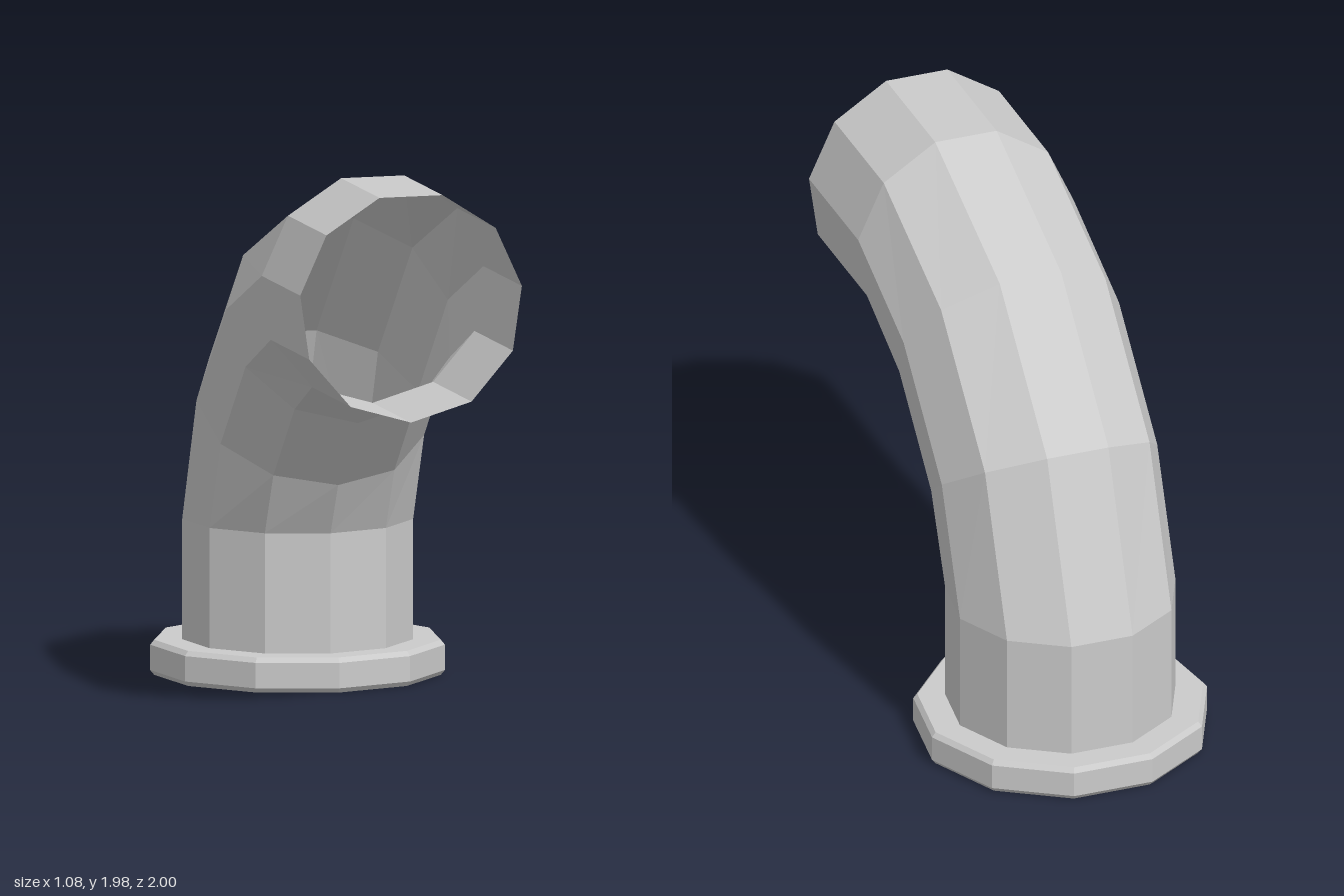
import * as THREE from 'three';

const SIDES = 11;
const RADIUS = 0.427;
const BASE_Z = -0.475;

// Flat-shaded skin through a list of rings that share one point count
function skin(rings) {
  const n = rings[0].length;
  const index = [];
  for (let i = 0; i < rings.length - 1; i++) {
    for (let j = 0; j < n; j++) {
      const a = i * n + j, b = i * n + (j + 1) % n;
      index.push(a, a + n, b, b, a + n, b + n);
    }
  }
  const geo = new THREE.BufferGeometry();
  geo.setAttribute('position', new THREE.Float32BufferAttribute(rings.flat(2), 3));
  geo.setIndex(index);
  const flat = geo.toNonIndexed();
  flat.computeVertexNormals();
  return flat;
}

// One pipe ring between its inner-bend and outer-bend extremes, each [z, y]
function pipeRing([inner, outer]) {
  const flatSide = Math.cos(Math.PI / SIDES);
  return Array.from({ length: SIDES }, (_, j) => {
    const a = (j / SIDES) * Math.PI * 2;
    const t = (1 - Math.cos(a)) / (1 + flatSide);
    return [
      RADIUS * Math.sin(a),
      THREE.MathUtils.lerp(inner[1], outer[1], t),
      THREE.MathUtils.lerp(inner[0], outer[0], t),
    ];
  });
}

export function createModel() {
  const group = new THREE.Group();
  group.name = 'pipeElbow';
  const material = new THREE.MeshStandardMaterial({
    color: 0xcccccc, flatShading: true, side: THREE.DoubleSide,
  });

  // Open thin-walled pipe, from the mouth round the bend to the flange
  const stations = [
    [[1, 1.138], [1, 1.975]],
    [[0.5, 1.138], [0.5, 1.975]],
    [[0.31, 1.035], [-0.155, 1.72]],
    [[0.053, 0.768], [-0.637, 1.235]],
    [[-0.046, 0.575], [-0.883, 0.575]],
    [[-0.046, 0.12], [-0.883, 0.12]],
  ];
  const pipe = new THREE.Mesh(skin(stations.map(pipeRing)), material);
  pipe.name = 'elbowPipe';
  group.add(pipe);

  // Base flange with small chamfers
  const profile = [
    [0, 0], [0.53, 0], [0.545, 0.018], [0.545, 0.112], [0.53, 0.13], [0, 0.13],
  ].map(([r, y]) => new THREE.Vector2(r, y));
  const flange = new THREE.Mesh(new THREE.LatheGeometry(profile, SIDES), material);
  flange.name = 'baseFlange';
  flange.position.z = BASE_Z;
  group.add(flange);

  return group;
}
